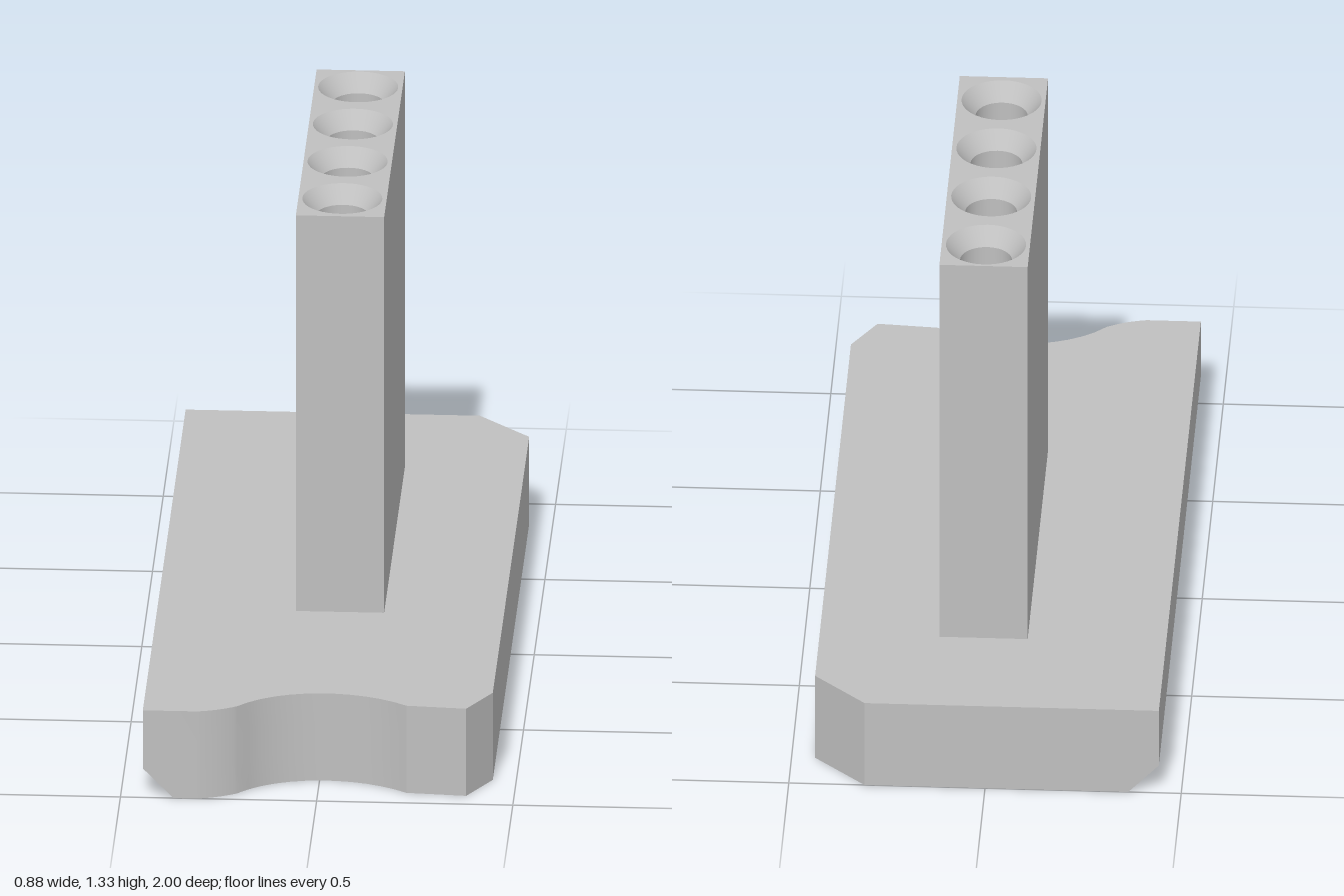
import * as THREE from 'three';
import { toCreasedNormals } from 'three/addons/utils/BufferGeometryUtils.js';

const BASE_TOP = 0.24, POST_TOP = 1.33;
const POST = { x0: -0.09, x1: 0.135, z0: -0.65, z1: 0.32 };
const HOLE = { x: 0.022, rim: 0.102, bore: 0.066, sink: 0.045, depth: 0.5 };
const HOLE_Z = [-0.54, -0.293, -0.045, 0.202];

// Shapes are drawn as (x, -z) and laid flat by turning about x
function layFlat(geometry) {
  return geometry.rotateX(-Math.PI / 2);
}

function mesh(name, geometry, material) {
  const m = new THREE.Mesh(geometry, material);
  m.name = name;
  return m;
}

// Slab with cut corners, a scooped front and a chamfered lower right edge
function baseGeometry() {
  const s = new THREE.Shape();
  s.moveTo(-0.443, 1);
  s.lineTo(-0.443, -1);
  s.lineTo(-0.305, -1);
  s.quadraticCurveTo(-0.25, -0.99, -0.205, -0.96);
  s.bezierCurveTo(-0.1, -0.835, 0.1, -0.835, 0.225, -0.933);
  s.lineTo(0.378, -0.945);
  s.lineTo(0.44, -0.835);
  s.lineTo(0.44, 0.867);
  s.lineTo(0.307, 1);
  s.closePath();
  const g = layFlat(new THREE.ExtrudeGeometry(s, {
    depth: BASE_TOP, steps: 3, bevelEnabled: false, curveSegments: 12,
  }));
  const p = g.attributes.position;
  for (let i = 0; i < p.count; i++) {
    if (p.getY(i) < 0.01 && p.getX(i) < -0.44) p.setX(i, -0.365);
  }
  return toCreasedNormals(g, 0.4);
}

// Four upright sides of the post
function postSides() {
  const w = POST.x1 - POST.x0, d = POST.z1 - POST.z0, h = POST_TOP - BASE_TOP;
  const r = Math.SQRT1_2;
  const g = new THREE.CylinderGeometry(r, r, h, 4, 1, true)
    .rotateY(Math.PI / 4)
    .scale(w, 1, d)
    .translate((POST.x0 + POST.x1) / 2, BASE_TOP + h / 2, (POST.z0 + POST.z1) / 2);
  return toCreasedNormals(g, 0.4);
}

// Top face of the post, pierced by the row of holes
function postTop() {
  const s = new THREE.Shape();
  s.moveTo(POST.x0, -POST.z1);
  s.lineTo(POST.x1, -POST.z1);
  s.lineTo(POST.x1, -POST.z0);
  s.lineTo(POST.x0, -POST.z0);
  s.closePath();
  for (const z of HOLE_Z) {
    s.holes.push(new THREE.Path().absarc(HOLE.x, -z, HOLE.rim, 0, Math.PI * 2, true));
  }
  return layFlat(new THREE.ShapeGeometry(s, 20)).translate(0, POST_TOP, 0);
}

// Countersunk blind hole, profile run downwards so that it faces inwards
function holeGeometry() {
  const profile = [
    [HOLE.rim, 0], [HOLE.bore, -HOLE.sink], [HOLE.bore, -HOLE.depth], [0, -HOLE.depth],
  ].map(([r, y]) => new THREE.Vector2(r, y));
  return toCreasedNormals(new THREE.LatheGeometry(profile, 40), 0.5);
}

export function createModel() {
  const model = new THREE.Group();
  model.name = 'postOnBase';
  const grey = new THREE.MeshStandardMaterial({ color: 0xc0c0c0 });
  grey.name = 'grey';

  model.add(mesh('base', baseGeometry(), grey));

  const post = new THREE.Group();
  post.name = 'post';
  post.add(mesh('postSides', postSides(), grey), mesh('postTop', postTop(), grey));
  const hole = holeGeometry();
  HOLE_Z.forEach((z, i) => {
    const m = mesh(`countersunkHole${i + 1}`, hole, grey);
    m.position.set(HOLE.x, POST_TOP, z);
    post.add(m);
  });
  model.add(post);
  return model;
}
